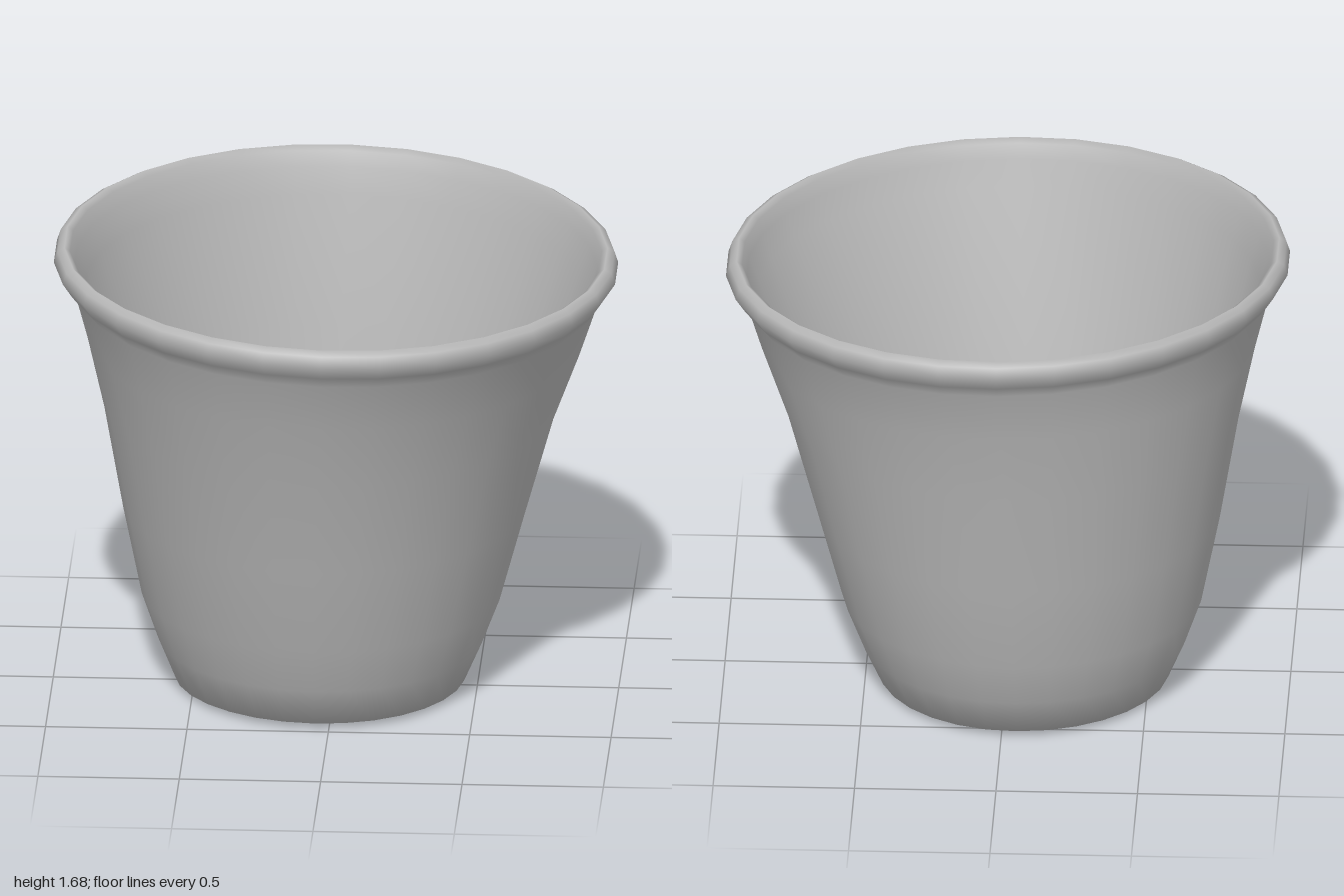
import * as THREE from 'three';
import { mergeVertices } from 'three/addons/utils/BufferGeometryUtils.js';

// Closed wall profile: [radius, height, centre x, centre z]
const rings = [
  // underside, from the drain hole outwards
  [0.04, 0.05, -0.175, 0.03],
  [0.13, 0.025, -0.15, 0.01],
  [0.36, 0.0, -0.06, -0.04],
  [0.515, 0.02, -0.055, -0.045],
  // outer wall
  [0.575, 0.16, -0.053, -0.05],
  [0.637, 0.33, -0.05, -0.05],
  [0.715, 0.66, -0.04, -0.04],
  [0.80, 1.04, -0.025, -0.025],
  [0.875, 1.3, -0.01, -0.01],
  [0.93, 1.49, 0, 0],
  // rolled rim
  [0.965, 1.535, 0, 0],
  [0.998, 1.585, 0, 0],
  [0.985, 1.625, 0, 0],
  [0.96, 1.64, 0, 0],
  [0.94, 1.625, 0, 0],
  [0.925, 1.57, 0, 0],
  // inner wall
  [0.89, 1.48, 0, 0],
  [0.765, 1.04, -0.025, -0.025],
  [0.675, 0.66, -0.04, -0.04],
  [0.595, 0.33, -0.045, -0.05],
  [0.53, 0.17, -0.04, -0.05],
  [0.46, 0.1, -0.03, -0.05],
  // floor, back to the drain hole
  [0.32, 0.08, -0.04, -0.04],
  [0.10, 0.075, -0.16, 0.02],
  [0.04, 0.065, -0.175, 0.03],
];

function potGeometry(segments) {
  const profile = [...rings, rings[0]];
  const lathe = new THREE.LatheGeometry(profile.map(([r, y]) => new THREE.Vector2(r, y)), segments);
  const pos = lathe.attributes.position;
  for (let i = 0; i < pos.count; i++) {
    const [r, y, cx, cz] = profile[i % profile.length];
    const angle = Math.atan2(pos.getX(i), pos.getZ(i));
    // slight hand-made waviness, fading out at the hole and the rim
    const wobble = 0.007 * Math.sin(3 * angle + 2 * y) * THREE.MathUtils.smoothstep(r, 0.1, 0.5)
      * (1 - THREE.MathUtils.smoothstep(y, 1.3, 1.55));
    const scale = 1 + wobble;
    const x = pos.getX(i) * scale + cx;
    const z = pos.getZ(i) * scale + cz;
    // the rim leans down towards the front left
    const lean = THREE.MathUtils.smoothstep(y, 0.6, 1.5);
    pos.setXYZ(i, x, y - lean * (0.022 * x + 0.03 * z), z);
  }
  // weld the seams so the shading runs smoothly around
  lathe.deleteAttribute('normal');
  lathe.deleteAttribute('uv');
  const geometry = mergeVertices(lathe, 1e-4);
  geometry.computeVertexNormals();
  return geometry;
}

export function createModel() {
  const group = new THREE.Group();
  group.name = 'flowerPot';
  const clay = new THREE.MeshStandardMaterial({ color: 0xb8b8b8 });
  clay.name = 'grey clay';
  const pot = new THREE.Mesh(potGeometry(30), clay);
  pot.name = 'pot';
  group.add(pot);
  return group;
}
